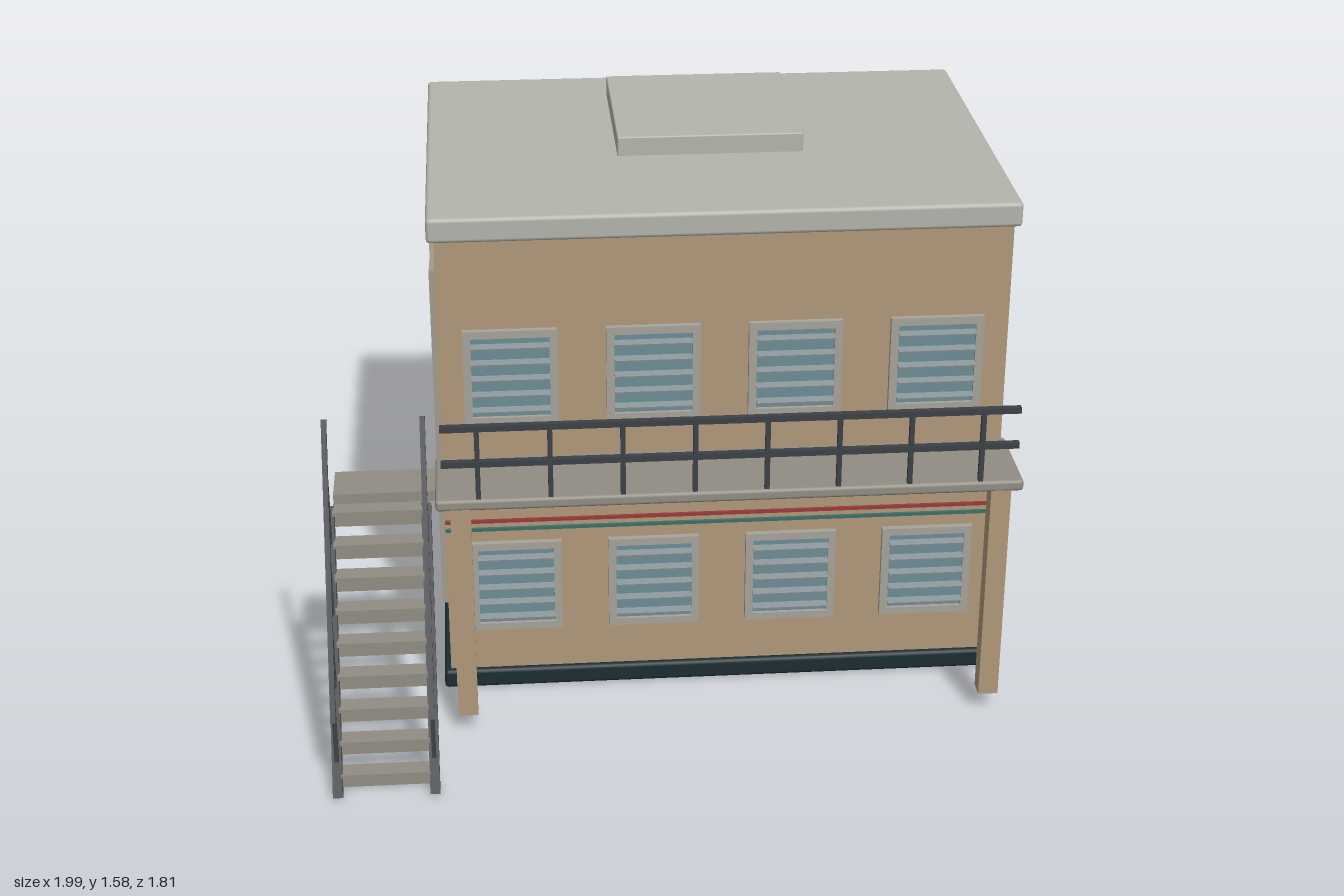
import * as THREE from 'three';
import { RoundedBoxGeometry } from 'three/addons/geometries/RoundedBoxGeometry.js';

const mat = (color) => new THREE.MeshStandardMaterial({ color });
const M = {
  wall: mat(0xb0977a), roof: mat(0xb4b4ac), base: mat(0x1c2c31), metal: mat(0x3d4046),
  deck: mat(0x918d83), frame: mat(0xa5a39b), trim: mat(0xa39a8c), glass: mat(0x86a0ac),
  louvreGlass: mat(0x6d8c95), slat: mat(0x8a969a), red: mat(0x9a3a3a), teal: mat(0x3f6f69),
  door: mat(0x33363b), handle: mat(0xa8823c),
};

// Box given by its min/max corners; radius rounds the edges
function box(parent, name, material, [x0, x1], [y0, y1], [z0, z1], radius = 0) {
  const s = [x1 - x0, y1 - y0, z1 - z0];
  const geo = radius ? new RoundedBoxGeometry(...s, 2, radius) : new THREE.BoxGeometry(...s);
  const mesh = new THREE.Mesh(geo, material);
  mesh.name = name;
  mesh.position.set((x0 + x1) / 2, (y0 + y1) / 2, (z0 + z1) / 2);
  parent.add(mesh);
  return mesh;
}

// Sloping bar in the yz plane between two [y, z] points
function slopedBar(parent, name, x, [ya, za], [yb, zb], w, t) {
  const mesh = new THREE.Mesh(new THREE.BoxGeometry(w, t, Math.hypot(yb - ya, zb - za)), M.metal);
  mesh.name = name;
  mesh.position.set(x, (ya + yb) / 2, (za + zb) / 2);
  mesh.rotation.x = -Math.atan2(yb - ya, zb - za);
  parent.add(mesh);
}

// Framed window facing +z with its back on z = 0
function makeWindow(name, w, h, f, slats) {
  const g = new THREE.Group();
  g.name = name;
  const X = w / 2, Y = h / 2, d = 0.018;
  for (const s of [-1, 1]) {
    const cx = s * (X - f / 2), cy = s * (Y - f / 2);
    box(g, 'windowJamb', M.frame, [cx - f / 2, cx + f / 2], [-Y, Y], [-0.005, d]);
    box(g, 'windowRail', M.frame, [-X + f, X - f], [cy - f / 2, cy + f / 2], [-0.005, d]);
  }
  box(g, 'windowPane', slats ? M.louvreGlass : M.glass, [-X + f, X - f], [-Y + f, Y - f], [-0.005, 0.007]);
  for (let i = 0; i < slats; i++) {
    const y = (i - (slats - 1) / 2) * (h - 2 * f) / slats;
    const slat = box(g, 'louvreSlat', M.slat, [-X + f, X - f], [y - 0.003, y + 0.003], [0.004, 0.032]);
    slat.rotation.x = 0.2;
  }
  return g;
}

// Large gridded side window facing +x, centred on the wall
function makeSideWindow() {
  const g = new THREE.Group();
  g.name = 'sideWindow';
  box(g, 'sideGlass', M.glass, [-0.005, 0.008], [0.22, 1.3], [-0.71, 0.165]);
  for (let i = 0; i < 5; i++) {
    const z = 0.162 - i * 0.2175;
    box(g, 'mullion', M.trim, [-0.005, 0.02], [0.215, 1.307], [z - 0.009, z + 0.009]);
  }
  for (const y of [0.225, 0.761, 1.297])
    box(g, 'transom', M.trim, [-0.005, 0.018], [y - 0.011, y + 0.011], [-0.717, 0.171]);
  return g;
}

export function createModel() {
  const model = new THREE.Group();
  model.name = 'building';
  const L = -0.665, R = 0.975, F = 0.32, B = -0.867;

  // Main block
  box(model, 'walls', M.wall, [L, R], [0.05, 1.48], [B, F]);
  box(model, 'plinth', M.base, [-0.685, 0.995], [0.01, 0.07], [-0.885, 0.337], 0.012);
  box(model, 'roofSlab', M.roof, [-0.685, 0.995], [1.457, 1.53], [-0.885, 0.337], 0.012);
  box(model, 'roofHatch', M.roof, [-0.122, 0.43], [1.525, 1.588], [-0.715, -0.137], 0.005);

  // Front louvred windows
  for (const y of [0.356, 1.04])
    for (let i = 0; i < 4; i++) {
      const w = makeWindow('frontWindow', 0.27, 0.294, 0.023, 5);
      w.position.set(-0.46 + i * 0.409, y, F);
      model.add(w);
    }

  // Stripes along the front
  box(model, 'redStripe', M.red, [L, 0.97], [0.567, 0.577], [F - 0.005, F + 0.008]);
  box(model, 'tealStripe', M.teal, [L, 0.97], [0.54, 0.55], [F - 0.005, F + 0.008]);

  // Gridded windows on both sides
  for (const s of [-1, 1]) {
    const w = makeSideWindow();
    w.position.x = s > 0 ? R : L;
    if (s < 0) {
      w.rotation.y = Math.PI;
      w.position.z = -0.546;
    }
    model.add(w);
  }

  // Back windows: three above, two below beside the door
  for (const [x, y] of [[0.625, 1.11], [0.17, 1.11], [-0.29, 1.11], [0.17, 0.415], [-0.29, 0.415]]) {
    const w = makeWindow('backWindow', 0.2, 0.235, 0.016, 0);
    w.position.set(x, y, B);
    w.rotation.y = Math.PI;
    model.add(w);
  }

  // Back door
  const door = new THREE.Group();
  door.name = 'backDoor';
  model.add(door);
  box(door, 'doorLeaf', M.door, [0.44, 0.66], [0.07, 0.59], [B - 0.01, B + 0.01]);
  for (const x of [0.432, 0.668])
    box(door, 'doorJamb', M.base, [x - 0.01, x + 0.01], [0.07, 0.61], [B - 0.018, B + 0.01]);
  box(door, 'doorHead', M.base, [0.422, 0.678], [0.59, 0.61], [B - 0.018, B + 0.01]);
  box(door, 'doorHandle', M.handle, [0.46, 0.47], [0.3, 0.365], [B - 0.026, B]);

  // Drainpipe with brackets
  const pipe = (name, r, h, y) => {
    const m = new THREE.Mesh(new THREE.CylinderGeometry(r, r, h, 12), M.metal);
    m.name = name;
    m.position.set(-0.488, y, -0.883);
    model.add(m);
  };
  pipe('drainpipe', 0.016, 1.352, 0.759);
  for (const y of [0.376, 1.146]) pipe('pipeBracket', 0.022, 0.018, y);

  // Balcony deck on two columns
  box(model, 'balconyDeck', M.deck, [-0.685, 0.99], [0.746, 0.78], [0.3, 0.585], 0.01);
  for (const x of [-0.615, 0.925])
    box(model, 'balconyColumn', M.wall, [x - 0.029, x + 0.029], [0.07, 0.75], [0.53, 0.585]);

  // Balcony railing
  const railing = new THREE.Group();
  railing.name = 'balconyRailing';
  model.add(railing);
  for (const y of [0.89, 1.0])
    box(railing, 'rail', M.metal, [L, 0.97], [y - 0.009, y + 0.009], [0.562, 0.58]);
  for (let i = 0; i < 8; i++) {
    const x = -0.563 + i * 0.204;
    box(railing, 'railPost', M.metal, [x - 0.007, x + 0.007], [0.77, 1.0], [0.564, 0.578]);
  }

  // Outside stair with landing
  const stair = new THREE.Group();
  stair.name = 'stair';
  model.add(stair);
  box(stair, 'landing', M.deck, [-0.973, -0.685], [0.74, 0.772], [0.362, 0.503]);
  for (let i = 0; i < 9; i++) {
    const y = 0.079 + i * 0.0828, z = 0.838 - i * 0.0408;
    box(stair, 'tread', M.deck, [-0.975, -0.722], [y - 0.012, y], [z - 0.012, z + 0.044]);
    box(stair, 'riser', M.deck, [-0.975, -0.722], [y - 0.068, y - 0.01], [z - 0.012, z]);
  }
  for (const x of [-0.985, -0.712]) {
    slopedBar(stair, 'stringer', x, [0.015, 0.895], [0.74, 0.51], 0.028, 0.03);
    slopedBar(stair, 'handrail', x, [0.265, 0.898], [1.015, 0.515], 0.015, 0.016);
    for (const z of [0.855, 0.758, 0.662, 0.568]) {
      const foot = 0.015 + (0.895 - z) * 1.883;
      const top = 0.265 + (0.898 - z) * 1.958;
      box(stair, 'handrailPost', M.metal, [x - 0.006, x + 0.006], [foot, top], [z - 0.006, z + 0.006]);
    }
  }
  return model;
}
